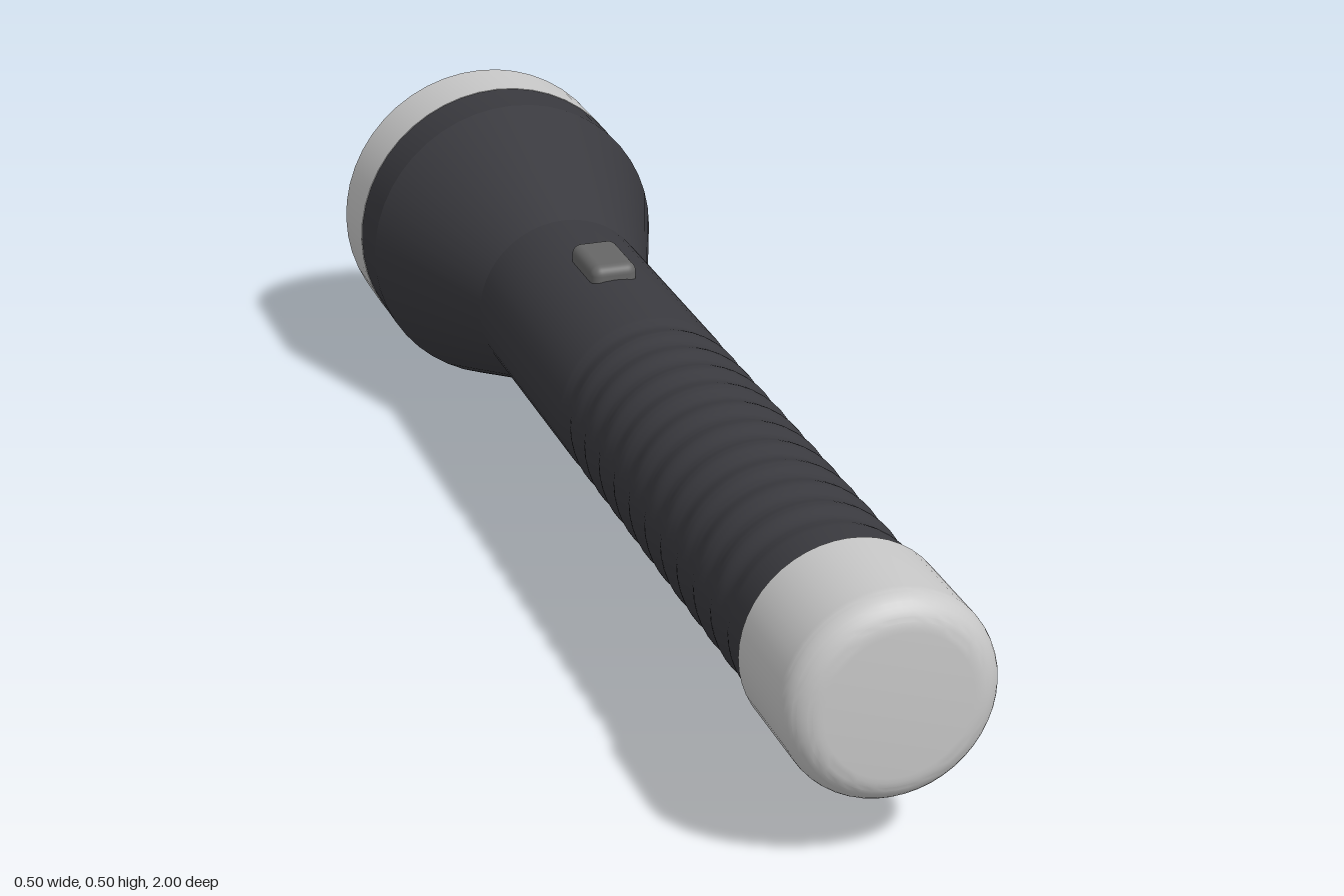
import * as THREE from 'three';
import { toCreasedNormals } from 'three/addons/utils/BufferGeometryUtils.js';
import { RoundedBoxGeometry } from 'three/addons/geometries/RoundedBoxGeometry.js';

const AXIS_Y = 0.253;

function material(name, color) {
  const m = new THREE.MeshStandardMaterial({ color });
  m.name = name;
  return m;
}

// Revolve [radius, z] points, listed from back to front, about the z axis.
function turned(name, profile, mat) {
  const points = profile.map(([r, z]) => new THREE.Vector2(r, z));
  const geometry = new THREE.LatheGeometry(points, 48).rotateX(Math.PI / 2);
  const mesh = new THREE.Mesh(toCreasedNormals(geometry, 0.3), mat);
  mesh.name = name;
  mesh.position.y = AXIS_Y;
  return mesh;
}

export function createModel() {
  const black = material('dark casing', 0x3a3a3f);
  const silver = material('silver metal', 0xc8c8c8);
  const glass = material('lens', 0xd2d2d2);
  const grey = material('switch grey', 0x666666);

  const group = new THREE.Group();
  group.name = 'flashlight';

  // Flared head
  group.add(turned('head', [
    [0.25, -0.89], [0.25, -0.8], [0.147, -0.5],
  ], black));

  // Handle with rippled grip
  const handle = [[0.147, -0.5], [0.147, -0.06]];
  const ridges = 11, steps = 10, gripStart = -0.06, gripEnd = 0.74;
  for (let i = 1; i <= ridges * steps; i++) {
    const dip = (1 - Math.cos((i / steps) * Math.PI * 2)) / 2;
    handle.push([0.147 - 0.006 * dip,
      gripStart + (gripEnd - gripStart) * i / (ridges * steps)]);
  }
  handle.push([0.147, 0.81]);
  group.add(turned('handle', handle, black));

  // Bezel: inner wall, back rim and outer wall
  group.add(turned('bezel', [
    [0.205, -0.96], [0.205, -1], [0.251, -1], [0.251, -0.89], [0.245, -0.89],
  ], silver));

  // Recessed lens facing backwards
  const lens = new THREE.Mesh(new THREE.CircleGeometry(0.207, 48), glass);
  lens.name = 'lens';
  lens.rotation.y = Math.PI;
  lens.position.set(0, AXIS_Y, -0.965);
  group.add(lens);

  // End cap with rounded front edge
  const cap = [[0.14, 0.8], [0.156, 0.8]];
  for (let i = 0; i <= 10; i++) {
    const a = (i / 10) * Math.PI / 2;
    cap.push([0.108 + 0.048 * Math.cos(a), 0.955 + 0.045 * Math.sin(a)]);
  }
  cap.push([0, 1]);
  group.add(turned('endCap', cap, silver));

  // Switch on top of the handle
  const button = new THREE.Mesh(new RoundedBoxGeometry(0.076, 0.05, 0.124, 4, 0.016), grey);
  button.name = 'switch';
  button.position.set(0, 0.398, -0.28);
  group.add(button);

  return group;
}
